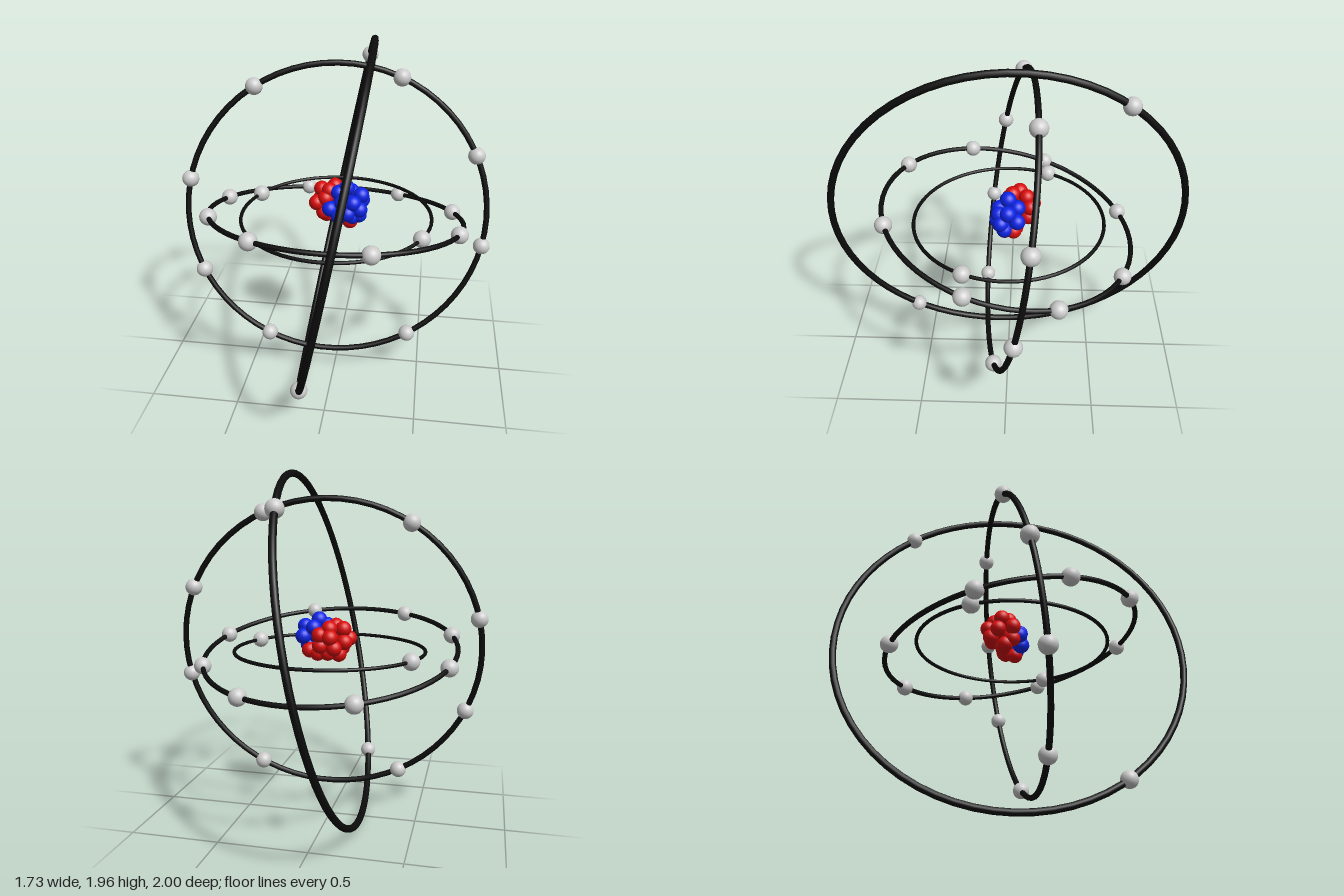
import * as THREE from 'three';

const CENTER_Y = 0.985;
const black = new THREE.MeshStandardMaterial({ color: 0x0c0c0c });
const grey = new THREE.MeshStandardMaterial({ color: 0xcccccc });
const red = new THREE.MeshStandardMaterial({ color: 0xd80c0c });
const blue = new THREE.MeshStandardMaterial({ color: 0x0c24e6 });

// Each orbit: ring radius, tube radius, plane normal, electron directions
const ORBITS = [
  { name: 'innerOrbit', radius: 0.533, tube: 0.01, normal: [0, 1, 0],
    electrons: [[-0.49, 0, -0.23], [0.48, 0, 0.22]] },
  { name: 'secondOrbit', radius: 0.709, tube: 0.0135, normal: [0.022, 1, -0.206],
    electrons: [[-0.27, -0.13, -0.65], [0.32, -0.135, -0.62], [0.65, -0.07, -0.265], [0.675, 0.03, 0.2],
      [0.25, 0.125, 0.64], [-0.345, 0.135, 0.605], [-0.665, 0.07, 0.25], [-0.685, -0.03, -0.21]] },
  { name: 'thirdOrbit', radius: 0.838, tube: 0.016, normal: [0.091, 0.158, 1],
    electrons: [[-0.455, 0.705, -0.07], [0.33, 0.755, -0.15], [0.75, 0.345, -0.12], [0.82, -0.165, -0.05],
      [0.43, -0.715, 0.08], [-0.38, -0.735, 0.155], [-0.765, -0.345, 0.125], [-0.82, 0.195, 0.045]] },
  { name: 'outerOrbit', radius: 0.981, tube: 0.019, normal: [1, -0.2, -0.055],
    electrons: [[0.12, 0.77, -0.6], [-0.13, -0.78, 0.585]] },
];

// Nucleon centres, relative to the shared centre
const PROTONS = [
  [-0.11, 0.07, 0], [-0.09, 0.13, -0.06], [-0.04, 0.14, -0.02], [-0.07, 0.015, 0], [-0.06, -0.015, -0.04],
  [-0.1, 0.06, -0.08], [-0.02, 0.135, -0.1], [-0.03, 0.09, -0.135], [0.03, 0.1, -0.12], [-0.05, 0.03, -0.12],
  [0.03, 0.04, -0.11], [0, -0.01, -0.05], [0.06, -0.015, -0.04], [0.11, 0, -0.03], [0.08, -0.02, 0.02],
  [-0.06, 0.1, 0], [-0.02, 0.07, -0.06],
];
const NEUTRONS = [
  [0.06, 0.17, 0], [0.14, 0.13, 0], [0.1, 0.1, 0.05], [0.04, 0.1, 0.05], [-0.03, 0.055, 0.04],
  [0.02, 0.015, 0.05], [0.07, 0.04, 0.06], [0.135, 0.06, 0.04], [0.14, 0.08, -0.05], [0.08, 0.13, -0.05],
  [0.015, 0.14, 0.005], [0.09, 0.01, 0.03], [0.13, 0.02, 0.02], [0.08, 0.08, 0], [0.02, 0.07, 0],
];

const electronGeometry = new THREE.SphereGeometry(0.047, 24, 16);
const nucleonGeometry = new THREE.SphereGeometry(0.044, 20, 14);

function ball(name, geometry, material, position) {
  const mesh = new THREE.Mesh(geometry, material);
  mesh.name = name;
  mesh.position.copy(position);
  return mesh;
}

// Ring lying across its normal, with electrons snapped onto it
function makeOrbit({ name, radius, tube, normal, electrons }) {
  const group = new THREE.Group();
  group.name = name;
  const n = new THREE.Vector3(...normal).normalize();
  const ring = new THREE.Mesh(new THREE.TorusGeometry(radius, tube, 12, 64), black);
  ring.name = 'ring';
  ring.quaternion.setFromUnitVectors(new THREE.Vector3(0, 0, 1), n);
  group.add(ring);
  for (const e of electrons) {
    const p = new THREE.Vector3(...e).projectOnPlane(n).setLength(radius);
    group.add(ball('electron', electronGeometry, grey, p));
  }
  return group;
}

export function createModel() {
  const model = new THREE.Group();
  model.name = 'atom';
  const body = new THREE.Group();
  body.name = 'atomBody';
  body.position.y = CENTER_Y;
  model.add(body);

  // Orbits
  for (const orbit of ORBITS) body.add(makeOrbit(orbit));

  // Nucleus
  const nucleus = new THREE.Group();
  nucleus.name = 'nucleus';
  for (const p of PROTONS) nucleus.add(ball('proton', nucleonGeometry, red, new THREE.Vector3(...p)));
  for (const p of NEUTRONS) nucleus.add(ball('neutron', nucleonGeometry, blue, new THREE.Vector3(...p)));
  body.add(nucleus);

  return model;
}
